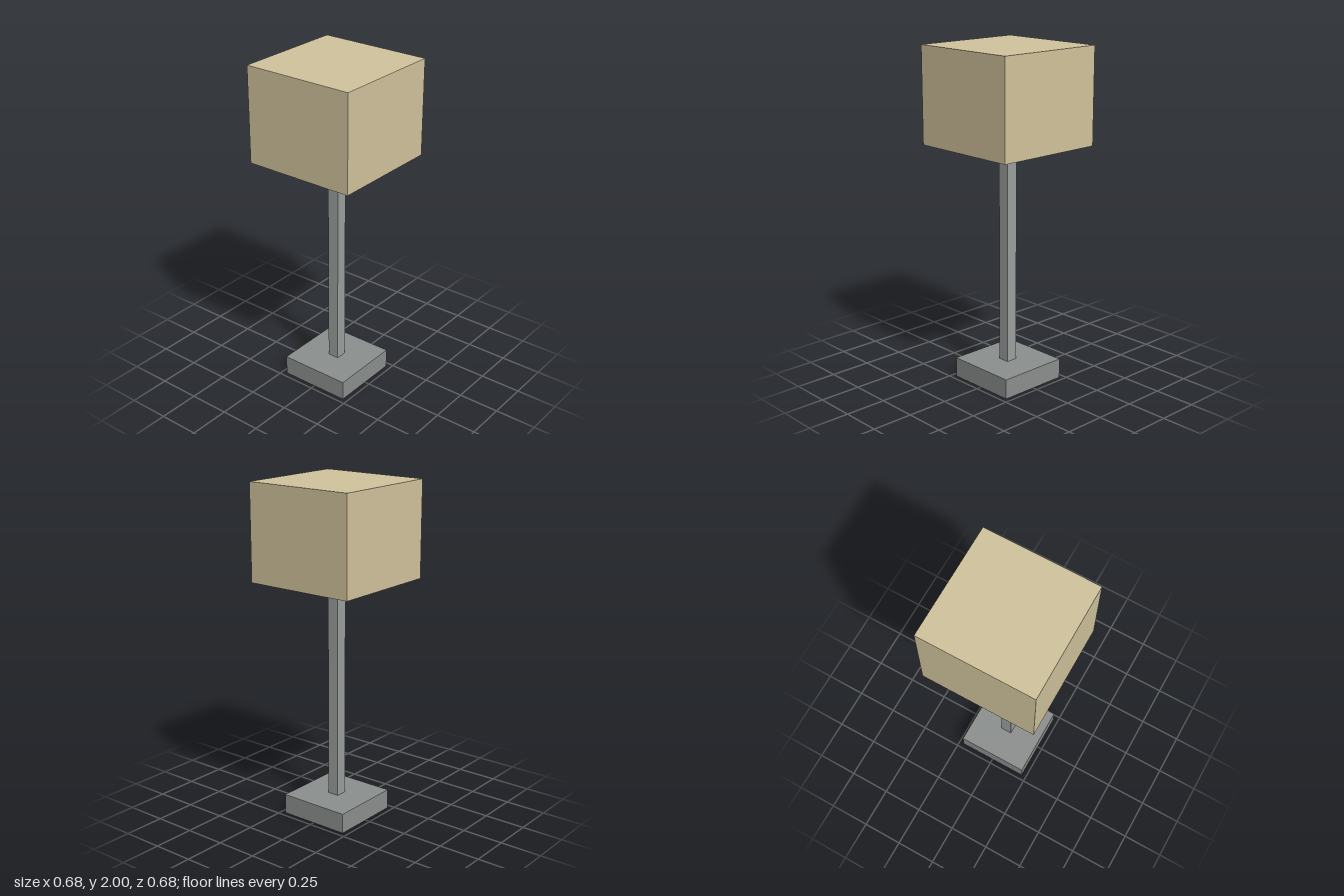
import * as THREE from 'three';

// Axis-aligned square block spanning bottom..top
function block(name, width, bottom, top, color) {
  const mesh = new THREE.Mesh(
    new THREE.BoxGeometry(width, top - bottom, width),
    new THREE.MeshStandardMaterial({ color })
  );
  mesh.name = name;
  mesh.position.y = (bottom + top) / 2;
  return mesh;
}

export function createModel() {
  const lamp = new THREE.Group();
  lamp.name = 'floorLamp';
  lamp.add(
    block('base', 0.44, 0, 0.12, 0x8b8f8e),
    block('pole', 0.07, 0.12, 1.43, 0x9a9f9d),
    block('shade', 0.682, 1.43, 2, 0xd1c39c)
  );
  return lamp;
}
